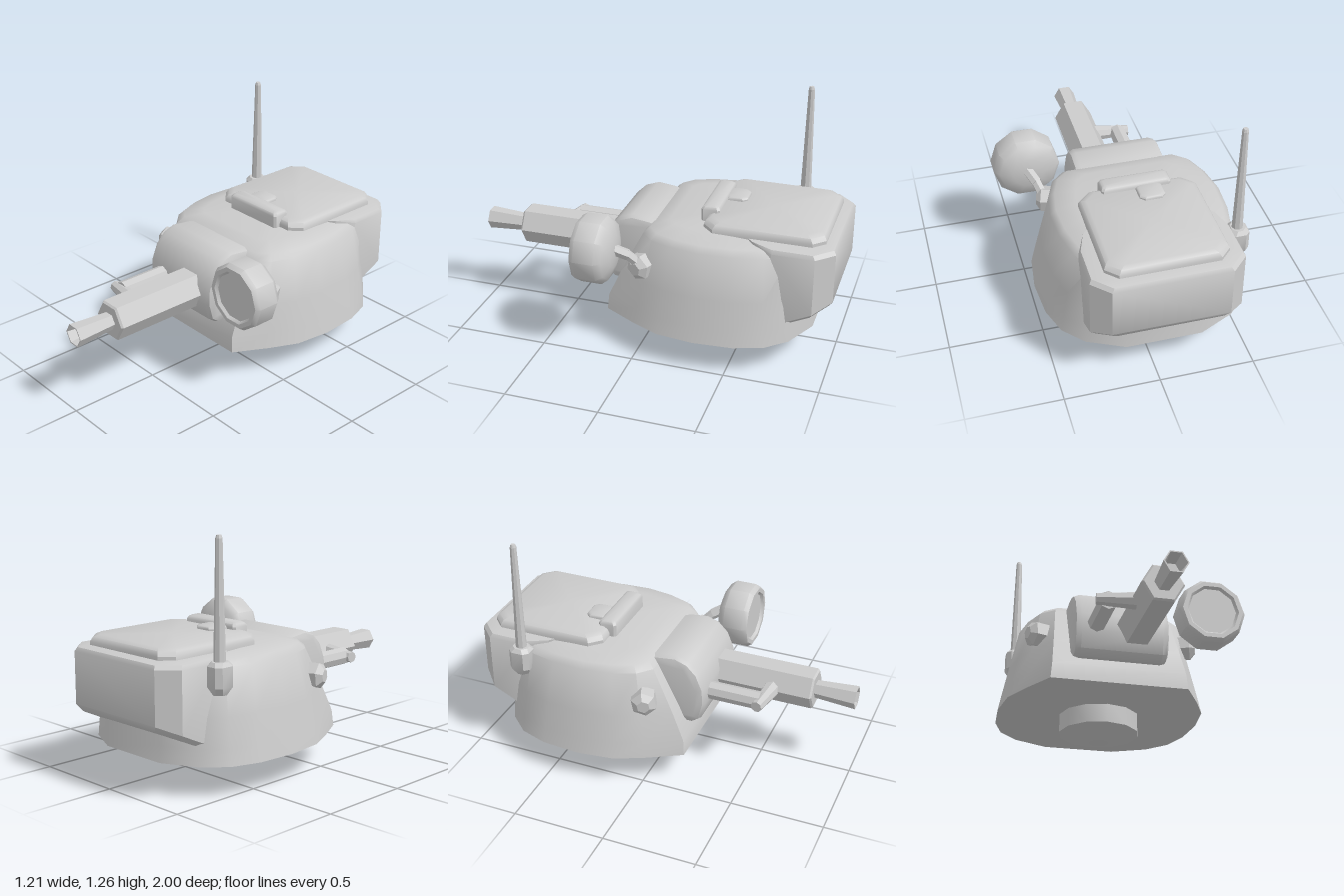
import * as THREE from 'three';
import { toCreasedNormals } from 'three/addons/utils/BufferGeometryUtils.js';
import { ConvexGeometry } from 'three/addons/geometries/ConvexGeometry.js';

const CX = -0.052; // turret centre line
const material = new THREE.MeshStandardMaterial({ color: 0xcccccc });
const V = (x, y, z) => new THREE.Vector3(x, y, z);

function part(parent, name, geometry, crease = 0.6) {
  const mesh = new THREE.Mesh(toCreasedNormals(geometry, crease), material);
  mesh.name = name;
  parent.add(mesh);
  return mesh;
}

// Closed loft through rings of equal length, ordered from bottom to top
function loft(rings) {
  const n = rings[0].length, index = [];
  const centre = r => r.reduce((s, p) => s.add(p), V(0, 0, 0)).divideScalar(n);
  const pts = [...rings.flat(), centre(rings[0]), centre(rings.at(-1))];
  const low = n * rings.length, top = n * (rings.length - 1);
  for (let k = 0; k < n; k++) {
    const l = (k + 1) % n;
    for (let a = 0; a < top; a += n) index.push(a + k, a + l, a + n + l, a + k, a + n + l, a + n + k);
    index.push(low, l, k, low + 1, top + k, top + l);
  }
  return new THREE.BufferGeometry().setFromPoints(pts).setIndex(index);
}

// Turned part along +z: profile pairs are [radius, z], ordered back to front
function turnedZ(profile, sides) {
  const pts = profile.map(([r, z]) => new THREE.Vector2(r, z));
  return new THREE.LatheGeometry(pts, sides, Math.PI / 2).rotateX(Math.PI / 2);
}

// Tapered rod between two points
function rod(a, b, r0, r1, sides) {
  const dir = b.clone().sub(a);
  const geo = new THREE.CylinderGeometry(r1, r0, dir.length(), sides);
  geo.applyQuaternion(new THREE.Quaternion().setFromUnitVectors(V(0, 1, 0), dir.normalize()));
  const mid = a.clone().add(b).multiplyScalar(0.5);
  return geo.translate(mid.x, mid.y, mid.z);
}

// Rectangle in plan with cut corners, at height y (number or function of z)
function cutRect(x0, x1, z0, z1, cut, y) {
  const c = cut;
  return [[x0 + c, z1], [x1 - c, z1], [x1, z1 - c], [x1, z0 + c],
    [x1 - c, z0], [x0 + c, z0], [x0, z0 + c], [x0, z1 - c]]
    .map(([x, z]) => V(x, typeof y === 'function' ? y(z) : y, z));
}

// Bevelled plate made of inset cut-corner rectangles
function plate(x0, x1, z0, z1, y0, y1, cut, bevel) {
  const ring = (i, y) => cutRect(x0 + i, x1 - i, z0 + i, z1 - i, cut, y);
  return loft([ring(0, y0), ring(0, y1 - bevel), ring(bevel * 0.35, y1 - bevel * 0.35), ring(bevel, y1)]);
}

// Sloping turret shell, blended from base outline to roof outline
function shellGeometry() {
  const base = [[0.36, 0.2], [0.46, 0.02], [0.53, -0.13], [0.555, -0.33], [0.54, -0.54], [0.49, -0.69], [0.39, -0.8], [0.2, -0.89]];
  const roof = [[0.31, 0.0], [0.38, -0.06], [0.425, -0.18], [0.45, -0.33], [0.44, -0.5], [0.405, -0.65], [0.35, -0.77], [0.2, -0.85]];
  const ring = (y, t, inset = 0, push = 0) => {
    const half = base.map(([x, z], i) => {
      const px = THREE.MathUtils.lerp(x, roof[i][0], t), pz = THREE.MathUtils.lerp(z, roof[i][1], t);
      return [px * (1 - inset), (pz + 0.35) * (1 - inset) - 0.35 + (i === 0 ? push : 0)];
    });
    return [...half.map(([x, z]) => V(CX + x, y, z)), ...half.reverse().map(([x, z]) => V(CX - x, y, z))];
  };
  return loft([ring(0.165, 0), ring(0.25, 0.16, 0, 0.025), ring(0.4, 0.47, 0, 0.02),
    ring(0.63, 0.95), ring(0.66, 1, 0.06), ring(0.685, 1, 0.3)]);
}

// Rear overhang with a sloping underside
function bustleGeometry() {
  const under = z => 0.36 - (z + 1) * 0.48;
  const x0 = CX - 0.393, x1 = CX + 0.393;
  return new ConvexGeometry([
    ...cutRect(x0 + 0.03, x1 - 0.03, -0.98, -0.6, 0.085, under),
    ...cutRect(x0, x1, -1, -0.6, 0.09, z => under(z) + 0.025),
    ...cutRect(x0, x1, -1, -0.6, 0.09, 0.655),
    ...cutRect(x0 + 0.012, x1 - 0.012, -0.988, -0.6, 0.09, 0.675),
    ...cutRect(x0 + 0.05, x1 - 0.05, -0.95, -0.5, 0.08, 0.685),
  ]);
}

// Rounded gun shield, side profile in (z, y) extruded across
function mantletGeometry() {
  const profile = [[-0.1, 0.295], [0.2, 0.295], [0.24, 0.325], [0.265, 0.42], [0.262, 0.51], [0.225, 0.6],
    [0.17, 0.655], [0.1, 0.68], [0.0, 0.668], [-0.1, 0.64]];
  const bevel = 0.038;
  const geo = new THREE.ExtrudeGeometry(new THREE.Shape(profile.map(p => new THREE.Vector2(...p))), {
    depth: 0.505 - 2 * bevel, bevelEnabled: true, bevelThickness: bevel, bevelSize: bevel, bevelOffset: -bevel, bevelSegments: 2,
  });
  return geo.translate(0, 0, bevel - 0.2525).rotateY(-Math.PI / 2).translate(CX, 0, 0);
}

export function createModel() {
  const model = new THREE.Group();
  model.name = 'turret';

  // Shell, overhang and the pivot underneath
  part(model, 'turretShell', shellGeometry(), 0.7);
  part(model, 'rearBustle', bustleGeometry());
  const pivot = [[0, 0], [0.218, 0.065], [0.218, 0.2]].map(p => new THREE.Vector2(...p));
  part(model, 'turretPivot', new THREE.LatheGeometry(pivot, 12, Math.PI / 2).translate(CX, 0, -0.32));

  // Roof hatch with hinge and grip
  const hatch = new THREE.Group();
  hatch.name = 'roofHatch';
  model.add(hatch);
  part(hatch, 'hatchLid', plate(-0.37, 0.262, -0.94, -0.3, 0.67, 0.738, 0.06, 0.035));
  part(hatch, 'hatchHinge', plate(-0.232, 0.137, -0.365, -0.265, 0.67, 0.772, 0.012, 0.022));
  part(hatch, 'hatchGrip', plate(-0.177, -0.04, -0.468, -0.34, 0.72, 0.757, 0.025, 0.012));

  // Main gun
  const gun = new THREE.Group();
  gun.name = 'gun';
  model.add(gun);
  part(gun, 'mantlet', mantletGeometry(), 0.7);
  const barrel = new THREE.Group();
  barrel.name = 'barrel';
  barrel.position.set(0.024, 0.463, 0);
  gun.add(barrel);
  part(barrel, 'barrelSleeve', turnedZ([[0.108, 0.15], [0.108, 0.77], [0.098, 0.78], [0, 0.78]].reverse(), 6).scale(1, 1, 1), 0.5);
  part(barrel, 'muzzle', turnedZ([[0, 0.9], [0.045, 0.9], [0.055, 1], [0.062, 1], [0.047, 0.77]], 6), 0.5);

  // Smaller tube beside the barrel, with its cross bracket
  part(gun, 'sideTube', rod(V(-0.19, 0.46, 0.2), V(-0.19, 0.46, 0.54), 0.049, 0.049, 8));
  part(gun, 'tubeBracket', rod(V(-0.254, 0.46, 0.537), V(-0.058, 0.46, 0.56), 0.03, 0.046, 8));

  // Domed bosses on both cheeks
  for (const side of [1, -1]) {
    const dir = V(side, 0, 0.35).normalize();
    const centre = V(CX + side * 0.42, 0.483, 0);
    const at = d => centre.clone().addScaledVector(dir, d);
    const boss = new THREE.Group();
    boss.name = side > 0 ? 'leftCheekBoss' : 'rightCheekBoss';
    model.add(boss);
    part(boss, 'bossBase', rod(at(-0.06), at(0.012), 0.07, 0.07, 6));
    part(boss, 'bossCap', rod(at(0.012), at(0.04), 0.07, 0.035, 6));
  }

  // Searchlight on a bent arm
  const light = new THREE.Group();
  light.name = 'searchlight';
  model.add(light);
  const lamp = [[0, 0.285], [0.13, 0.285], [0.142, 0.3], [0.165, 0.3], [0.182, 0.275], [0.182, 0.165], [0.155, 0.132], [0.085, 0.107], [0, 0.098]];
  part(light, 'lampHousing', turnedZ(lamp, 10).translate(0.425, 0.585, 0), 0.75);
  part(light, 'lampArmLower', rod(V(0.37, 0.5, -0.01), V(0.4, 0.57, 0.06), 0.027, 0.027, 6));
  part(light, 'lampArmUpper', rod(V(0.395, 0.56, 0.05), V(0.43, 0.6, 0.12), 0.03, 0.03, 6));

  // Aerial and its mount
  const aerial = new THREE.Group();
  aerial.name = 'aerial';
  model.add(aerial);
  const mount = (i, y) => cutRect(-0.53 + i, -0.425 - i, -0.758 + i, -0.642 - i, 0.025, y);
  part(aerial, 'aerialMount', loft([mount(0.02, 0.51), mount(0, 0.55), mount(0, 0.65), mount(0.015, 0.67)]));
  part(aerial, 'aerialMast', rod(V(-0.475, 0.66, -0.7), V(-0.475, 1.25, -0.7), 0.03, 0.017, 8));
  part(aerial, 'aerialTip', rod(V(-0.475, 1.25, -0.7), V(-0.475, 1.265, -0.7), 0.017, 0.012, 8));

  // Lathe winding: profiles must run so that faces point outward
  model.traverse(o => { if (o.isMesh && fixWinding(o.geometry)) o.geometry = flipped(o.geometry); });
  return model;
}

// Signed volume below zero means the faces point inward
function fixWinding(geo) {
  const p = geo.attributes.position, mid = V(0, 0, 0);
  const get = i => V(0, 0, 0).fromBufferAttribute(p, i);
  geo.computeBoundingBox();
  geo.boundingBox.getCenter(mid);
  let volume = 0;
  for (let i = 0; i < p.count; i += 3) {
    const [a, b, c] = [0, 1, 2].map(k => get(i + k).sub(mid));
    volume += a.dot(b.cross(c));
  }
  return volume < 0;
}

function flipped(geo) {
  for (const name of ['position', 'normal']) {
    const at = geo.attributes[name], s = name === 'normal' ? -1 : 1;
    for (let i = 0; i < at.count; i += 3) {
      const [b, c] = [1, 2].map(k => V(0, 0, 0).fromBufferAttribute(at, i + k));
      at.setXYZ(i + 1, c.x, c.y, c.z);
      at.setXYZ(i + 2, b.x, b.y, b.z);
      if (s < 0) for (let k = 0; k < 3; k++) at.setXYZ(i + k, -at.getX(i + k), -at.getY(i + k), -at.getZ(i + k));
    }
  }
  return geo;
}
